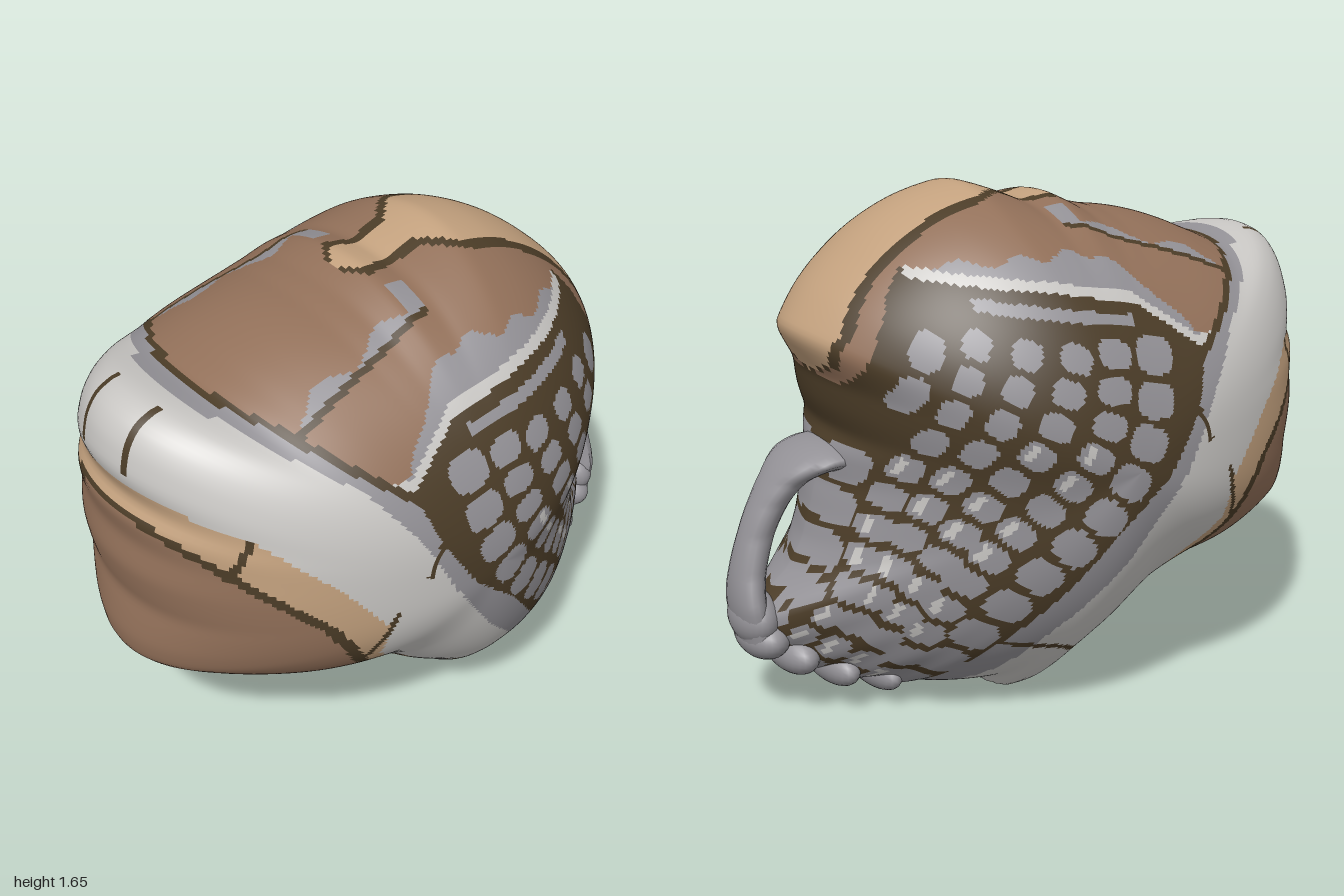
import * as THREE from 'three';

const V = (x, y) => new THREE.Vector3(x, y, 0);
const CX = -0.05, CY = 0.85, HALF = 0.72;

// Side outline, anticlockwise from the lower right tip
const outline = [[0.97, 0.3], [0.95, 0.35], [0.87, 0.4], [0.81, 0.45], [0.75, 0.55], [0.72, 0.65], [0.69, 0.76], [0.69, 0.86],
  [0.66, 0.92], [0.69, 1.0], [0.7, 1.1], [0.78, 1.23], [0.7, 1.35], [0.6, 1.45], [0.5, 1.53], [0.35, 1.61], [0.2, 1.65],
  [0.1, 1.62], [0, 1.58], [-0.1, 1.6], [-0.2, 1.55], [-0.3, 1.53], [-0.5, 1.49], [-0.6, 1.45], [-0.7, 1.405], [-0.77, 1.42],
  [-0.86, 1.44], [-0.94, 1.41], [-0.98, 1.35], [-1, 1.25], [-0.96, 1.15], [-1, 1.1], [-0.98, 1], [-1, 0.9], [-0.97, 0.75],
  [-1, 0.6], [-0.99, 0.52], [-0.9, 0.47], [-0.8, 0.43], [-0.5, 0.37], [-0.3, 0.28], [-0.2, 0.2], [-0.05, 0.08], [0.03, 0], [0.07, -0.06],
  [0.16, -0.06], [0.21, 0.015], [0.48, 0.04], [0.53, 0.02], [0.59, 0.07], [0.68, 0.06], [0.74, 0.12], [0.83, 0.13], [0.88, 0.2], [0.95, 0.22]];

// Linear lookup in a table of [key, value] pairs with rising keys
function lookup(table, k) {
  if (k <= table[0][0]) return table[0][1];
  for (let i = 1; i < table.length; i++) {
    const [k0, v0] = table[i - 1], [k1, v1] = table[i];
    if (k <= k1) return v0 + (v1 - v0) * (k - k0) / (k1 - k0 || 1);
  }
  return table[table.length - 1][1];
}

// Paint boundaries of the diagonal bands: [y, x]
const brownEdge = [[0, 0.02], [0.13, -0.1], [0.34, -0.31], [0.57, -0.5], [0.785, -0.63], [1, -0.87], [1.12, -1.02], [1.2, -1.2]];
const tanEdge = [[0, 0.08], [0.155, -0.03], [0.37, -0.25], [0.61, -0.44], [0.75, -0.44], [0.93, -0.58], [1.105, -0.765], [1.22, -1], [1.3, -1.2]];
const lightEdge = [[0.03, 0.38], [0.155, 0.27], [0.315, 0.16], [0.555, -0.05], [0.82, -0.23], [1.04, -0.34], [1.22, -0.47], [1.39, -0.72], [1.42, -0.79]];
const greyEdge = [[0.03, 0.47], [0.14, 0.41], [0.26, 0.33], [0.45, 0.17], [0.66, 0.01], [0.82, -0.16], [1, -0.27], [1.14, -0.32], [1.37, -0.62], [1.42, -0.74]];
// Stripes below the crown: [x, y]
const whiteLine = [[-0.32, 1.2], [-0.125, 1.34], [0.14, 1.39], [0.515, 1.435], [0.57, 1.36], [0.62, 1.25], [0.66, 1.15], [0.68, 1.08]];
const greyTop = [[-0.32, 1.22], [-0.2, 1.36], [-0.07, 1.46], [0.1, 1.47], [0.3, 1.46], [0.5, 1.45]];
// Half width of the tan blaze on the crown and brow
const blazeX = [[-0.15, 0], [-0.1, 0.08], [0, 0.06], [0.1, 0.07], [0.2, 0.17], [0.6, 0.19]];
const blazeY = [[1.1, 0], [1.15, 0.18], [1.25, 0.23], [1.4, 0.19]];
const cracks = [[-0.78, 1.11, -0.84, 0.98], [-0.42, 0.79, -0.49, 0.58], [0.3, 0.29, 0.1, 0.24], [0.1, 0.24, -0.07, 0.16], [-0.26, 1.04, -0.32, 0.91]];

// Columns of scales: path, number, half width
const columns = [
  [[[-0.14, 1.18], [-0.09, 0.96], [0.045, 0.73], [0.24, 0.53], [0.38, 0.33], [0.5, 0.1]], 11, 0.066],
  [[[0, 1.2], [0.06, 0.98], [0.18, 0.8], [0.33, 0.65], [0.45, 0.48], [0.53, 0.29], [0.57, 0.13]], 13, 0.056],
  [[[0.13, 1.2], [0.23, 0.98], [0.36, 0.8], [0.46, 0.64], [0.545, 0.47], [0.62, 0.28], [0.67, 0.1]], 13, 0.049],
  [[[0.27, 1.22], [0.36, 1.02], [0.47, 0.83], [0.55, 0.67], [0.62, 0.5], [0.71, 0.3], [0.77, 0.15]], 12, 0.041],
  [[[0.4, 1.25], [0.47, 1.06], [0.56, 0.86], [0.62, 0.68], [0.68, 0.5], [0.8, 0.31], [0.88, 0.2]], 12, 0.036],
  [[[0.52, 1.23], [0.57, 1.1]], 2, 0.038],
  [[[0.66, 0.83], [0.7, 0.67], [0.76, 0.5], [0.9, 0.34]], 5, 0.033]];
const scales = [];
columns.forEach(([path, n, hw], c) => {
  const curve = new THREE.CatmullRomCurve3(path.map(p => V(...p)));
  const hl = curve.getLength() / (n - 1) / 2 - 0.011;
  for (let i = 0; i < n; i++) {
    const p = curve.getPointAt(i / (n - 1)), t = curve.getTangentAt(i / (n - 1));
    scales.push({ p, t, hl, hw, shine: c > 0 && c < 5 && p.y < 0.95 && (i + c) % 3 > 0 });
  }
});

const [BROWN, DARK, GREY, LIGHT, TAN] = [0, 1, 2, 3, 4];

// Paint of the crown above the scales
function crownPaint(x, y, z) {
  if (x > -0.15 && y > 1.08) {
    const w = x > 0.55 && y < 1.4 ? lookup(blazeY, y) : lookup(blazeX, x);
    if (z < w) return TAN;
    if (z < w + 0.04) return DARK;
  }
  if (x < -0.02) {
    const line = 0.39 - (x + 0.62) * 0.17;
    if (z > line && z < line + 0.022) return DARK;
    if (z <= line && z > line - 0.03 - 0.025 * Math.sin(x * 25)) return GREY;
    if (x > -0.09 && z <= line && z > 0.17) return GREY;
  }
  if (x < 0.5 && y < lookup(greyTop, x) + 0.012 * Math.sin(x * 38)) return GREY;
  return BROWN;
}

function paint(x, y, z) {
  if (y < 0.004) return TAN;
  for (const [x0, y0, x1, y1] of cracks) {
    const dx = x1 - x0, dy = y1 - y0;
    const k = THREE.MathUtils.clamp(((x - x0) * dx + (y - y0) * dy) / (dx * dx + dy * dy), 0, 1);
    if (Math.hypot(x - x0 - k * dx, y - y0 - k * dy) < 0.009) return DARK;
  }
  if (x < -0.84 && y > 1.25 && z > 0.1 && z < 0.125) return DARK;
  const a = lookup(brownEdge, y), e = lookup(greyEdge, y);
  if (x < a) return BROWN;
  if (x < a + 0.04) return DARK;
  if (x < lookup(tanEdge, y)) return TAN;
  if (x < lookup(lightEdge, y)) return LIGHT;
  if (x < e) return GREY;
  if (y > 1.15 && x < e + 0.04) return DARK;
  const d = y - lookup(whiteLine, x);
  if (d > 0.015) return crownPaint(x, y, z);
  if (d > -0.015 && x < 0.515) return LIGHT;
  if (x > -0.1 && x < 0.38 && Math.abs(y - 1.295 - x * 0.16) < 0.018) return GREY;
  for (const s of scales) {
    const dx = x - s.p.x, dy = y - s.p.y;
    const u = (dx * s.t.x + dy * s.t.y) / s.hl, v = (dy * s.t.x - dx * s.t.y) / s.hw;
    if (Math.abs(u) ** 3 + Math.abs(v) ** 3 < 1)
      return s.shine && Math.abs(u) < 0.65 && v > 0.15 && v < 0.6 ? LIGHT : GREY;
  }
  return DARK;
}

// Rounded body: the outline inflated to both sides, with painted faces
function bodyGeometry() {
  const N = 340, M = 206, tau = Math.PI * 2;
  const polar = outline.map(([x, y]) => [(Math.atan2(y - CY, x - CX) + tau) % tau, Math.hypot(x - CX, y - CY)])
    .sort((p, q) => p[0] - q[0]);
  const last = polar[polar.length - 1], first = polar[0];
  polar.unshift([last[0] - tau, last[1]]);
  polar.push([first[0] + tau, first[1]]);
  const raw = Array.from({ length: N }, (_, j) => lookup(polar, j / N * tau));
  const blur = (list, w) => list.map((_, j) => {
    let sum = 0;
    for (let k = -w; k <= w; k++) sum += list[(j + k + N) % N];
    return sum / (2 * w + 1);
  });
  const edge = blur(raw, 1), soft = blur(blur(raw, 14), 12);
  const pos = [];
  for (let i = 0; i <= M; i++) {
    const t = i === M ? 0 : Math.sin(Math.PI * i / M), side = i < M / 2 ? 1 : -1;
    for (let j = 0; j < N; j++) {
      const th = j / N * tau, off = Math.atan2(Math.sin(th + 0.5), Math.cos(th + 0.5));
      const taper = Math.exp(-((off / 0.5) ** 2));
      const r = t * (soft[j] + (edge[j] - soft[j]) * t ** 6);
      const z = HALF * Math.max(0, 1 - t ** (2 - 0.4 * taper)) ** (0.5 + 0.25 * taper);
      pos.push(CX + r * Math.cos(th), Math.max(0, CY + r * Math.sin(th)), side * z);
    }
  }
  const faces = [[], [], [], [], []];
  for (let i = 0; i < M; i++) for (let j = 0; j < N; j++) {
    const k = (j + 1) % N, a = i * N + j, b = a + N, c = (i + 1) * N + k, d = i * N + k;
    const mid = n => (pos[a * 3 + n] + pos[b * 3 + n] + pos[c * 3 + n] + pos[d * 3 + n]) / 4;
    const list = faces[paint(mid(0), mid(1), Math.abs(mid(2)))];
    if (i < M - 1) list.push(a, b, c);
    if (i > 0) list.push(a, c, d);
  }
  const g = new THREE.BufferGeometry();
  g.setAttribute('position', new THREE.Float32BufferAttribute(pos, 3));
  g.setIndex(faces.flat());
  let start = 0;
  faces.forEach((f, m) => { g.addGroup(start, f.length, m); start += f.length; });
  g.computeVertexNormals();
  return g;
}

// Arched handle, flaring sideways at both ends
function handleGeometry() {
  const arch = new THREE.CatmullRomCurve3([[0.6, 0.82], [0.7, 0.825], [0.79, 0.78], [0.87, 0.67], [0.925, 0.52], [0.942, 0.4], [0.92, 0.26]].map(p => V(...p)));
  const flare = [[0.28, 2.2], [0.38, 2.2], [0.48, 1.6], [0.6, 1.3], [0.7, 1.5], [0.77, 2], [0.83, 3.2]];
  const g = new THREE.TubeGeometry(arch, 48, 0.053, 20), p = g.attributes.position;
  for (let i = 0; i < p.count; i++) p.setZ(i, p.getZ(i) * lookup(flare, p.getY(i)));
  g.computeVertexNormals();
  return g;
}

export function createModel() {
  const model = new THREE.Group();
  const material = (name, color) => Object.assign(new THREE.MeshStandardMaterial({ color }), { name });
  const mats = [material('brown', 0x927059), material('darkBrown', 0x4b3c27), material('grey', 0x939196),
    material('lightGrey', 0xc8c6c3), material('tan', 0xc3a17e)];
  const add = (name, geometry, mat) => {
    const mesh = new THREE.Mesh(geometry, mat);
    mesh.name = name;
    model.add(mesh);
    return mesh;
  };
  add('body', bodyGeometry(), mats);
  add('handle', handleGeometry(), mats[GREY]);

  // Rounded rolls along the lower edge
  const ball = new THREE.SphereGeometry(1, 28, 18);
  [['handleEnd', 0.92, 0.33, 0.075, 0.09, 0.125], ['roll', 0.895, 0.265, 0.08, 0.075, 0.14], ['roll', 0.8, 0.2, 0.075, 0.075, 0.17],
    ['roll', 0.67, 0.14, 0.07, 0.075, 0.2], ['roll', 0.53, 0.1, 0.065, 0.075, 0.22]].forEach(([name, x, y, rx, ry, rz]) => {
    const mesh = add(name, ball, mats[GREY]);
    mesh.position.set(x, y, 0);
    mesh.scale.set(rx, ry, rz);
  });
  return model;
}
